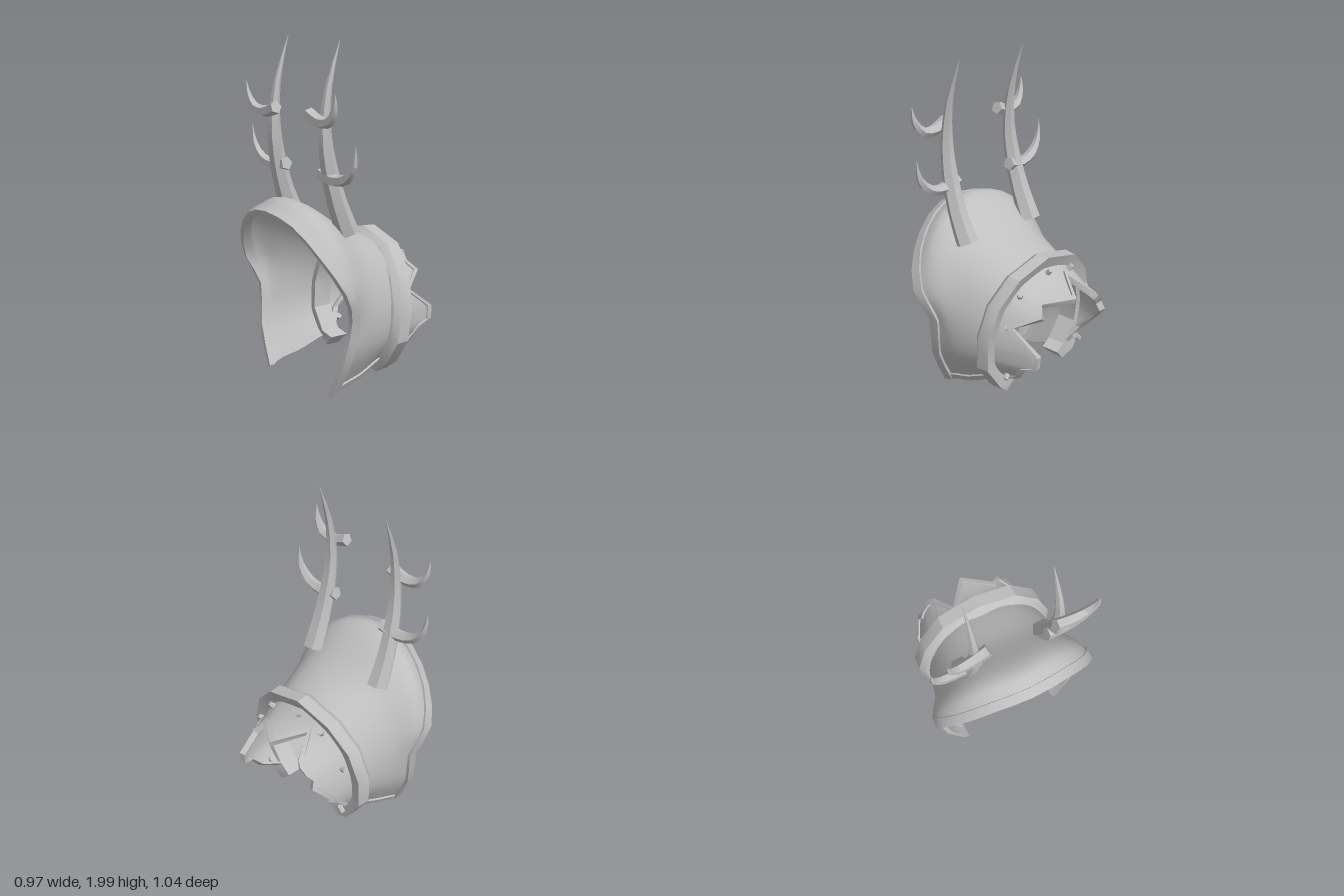
import * as THREE from 'three';
import { toCreasedNormals } from 'three/addons/utils/BufferGeometryUtils.js';

const V = (x, y, z) => new THREE.Vector3(x, y, z);

// Half arches from crown to lower edge, [x, y, z], ordered from the flared rim to the torn end
const STATIONS = [
  { zc: 0, pts: [[-.46, 1.06, 0], [-.43, 1.01, .22], [-.37, .86, .4], [-.28, .67, .5], [-.205, .5, .46], [-.23, .26, .42], [-.245, .03, .31]] },
  { zc: 0, pts: [[-.33, 1.115, 0], [-.3, 1.06, .23], [-.26, .9, .4], [-.2, .68, .48], [-.17, .5, .455], [-.18, .27, .42], [-.19, .06, .31]] },
  { zc: .02, pts: [[-.05, .945, 0], [-.05, .91, .2], [-.07, .81, .335], [-.08, .63, .42], [-.08, .45, .43], [-.07, .28, .4], [-.06, .1, .3]] },
  { zc: .035, pts: [[.2, .83, 0], [.2, .79, .18], [.18, .7, .29], [.165, .57, .355], [.15, .42, .38], [.14, .29, .355], [.14, .18, .27]] },
  { zc: .035, pts: [[.32, .74, 0], [.32, .71, .17], [.32, .635, .265], [.32, .54, .315], [.32, .42, .34], [.32, .3, .325], [.32, .2, .25]] },
  { zc: .055, pts: [[.48, .69, 0], [.48, .665, .13], [.48, .6, .22], [.48, .52, .27], [.48, .42, .29], [.48, .32, .29], [.48, .25, .25]] },
];
// Each full arch runs from the +z lower edge over the crown to the -z lower edge
const ARCHES = STATIONS.map(({ zc, pts }) => {
  const put = (s) => ([x, y, z]) => V(x - .07 * s * z, y, s * z + zc);
  return new THREE.CatmullRomCurve3([...pts.slice(1).reverse().map(put(1)), ...pts.map(put(-1))]);
});

// Point on the shell: a = 0..12 around the arch, u = 0..5 along the stations
function P(a, u) {
  return new THREE.CatmullRomCurve3(ARCHES.map((c) => c.getPoint(a / 12))).getPoint(u / 5);
}
// Surface point with outward normal and both tangents
function frame(a, u) {
  const e = .02;
  const p = P(a, u);
  const da = P(Math.min(12, a + e), u).sub(P(Math.max(0, a - e), u)).normalize();
  const du = P(a, Math.min(5, u + e)).sub(P(a, Math.max(0, u - e))).normalize();
  const n = da.clone().cross(du).normalize();
  if (n.dot(V(0, p.y - .42, p.z)) < 0) n.negate();
  return { p, da, du, n };
}

// Torn edge as [a, x] around the arch
const TEAR = [[0, .19], [.6, .32], [1.25, .38], [1.4, .455], [2.1, .46], [3.1, .28], [4.2, .42], [4.8, .375], [5.95, .48],
  [6.6, .3], [7.35, .435], [7.75, .455], [8.3, .445], [8.7, .42], [9.2, .44], [10, .36], [11, .25], [12, .19]];
function tearU(a) {
  let i = 0;
  while (i < TEAR.length - 2 && TEAR[i + 1][0] < a) i++;
  const [a0, x0] = TEAR[i], [a1, x1] = TEAR[i + 1];
  const x = x0 + (x1 - x0) * (a - a0) / (a1 - a0);
  return x > .32 ? 4 + (x - .32) / .16 : 3 + Math.max(0, x - .16) / .16;
}

function geometry(pos, idx) {
  const g = new THREE.BufferGeometry();
  g.setAttribute('position', new THREE.Float32BufferAttribute(pos, 3));
  g.setIndex(idx);
  return g;
}

// Closed solid through equal loops of points, with both ends capped
function loft(rows, crease = .5) {
  const n = rows[0].length, idx = [], all = rows.flat();
  for (let r = 0; r < rows.length - 1; r++) {
    for (let k = 0; k < n; k++) {
      const a = r * n + k, b = r * n + (k + 1) % n;
      idx.push(a, b, a + n, b, b + n, a + n);
    }
  }
  const end = (rows.length - 1) * n;
  for (let k = 1; k < n - 1; k++) idx.push(0, k + 1, k, end, end + k, end + k + 1);
  // Keep faces pointing outward
  let volume = 0;
  for (let i = 0; i < idx.length; i += 3) {
    volume += all[idx[i]].dot(all[idx[i + 1]].clone().cross(all[idx[i + 2]]));
  }
  if (volume < 0) idx.reverse();
  return toCreasedNormals(geometry(all.flatMap((p) => p.toArray()), idx), crease);
}

// Strip along shell frames; profile points are [inward, outward] offsets
function trim(frames, inward, profile) {
  return loft(frames.map((f) => {
    const d = inward(f);
    return profile.map(([w, h]) => f.p.clone().addScaledVector(d, w).addScaledVector(f.n, h));
  }));
}

// Faceted tapering horn along a curved path
function horn(points, radii, side, sides, steps) {
  const curve = new THREE.CatmullRomCurve3(points), rows = [];
  for (let i = 0; i <= steps; i++) {
    const t = i / steps, k = Math.min(t * (radii.length - 1), radii.length - 1.001), j = Math.floor(k);
    const r = THREE.MathUtils.lerp(radii[j], radii[j + 1], k - j);
    const p = curve.getPoint(t), up = curve.getTangent(t).cross(side).normalize();
    rows.push(Array.from({ length: sides }, (_, m) => {
      const q = m / sides * Math.PI * 2;
      return p.clone().addScaledVector(side, Math.cos(q) * r).addScaledVector(up, Math.sin(q) * r);
    }));
  }
  return loft(rows, .4);
}

// Shell panel from u0 to an end that may vary around the arch
function panel(u0, u1, as, nu) {
  const pos = [], idx = [], w = nu + 1;
  as.forEach((a, i) => {
    for (let j = 0; j <= nu; j++) {
      pos.push(...P(a, u0 + (u1(a) - u0) * j / nu).toArray());
      if (i && j) {
        const q = i * w + j;
        idx.push(q - w - 1, q - 1, q - w, q - w, q - 1, q);
      }
    }
  });
  const g = geometry(pos, idx);
  g.computeVertexNormals();
  // Front faces look away from the hollow
  if (g.attributes.normal.getY(Math.floor(as.length / 2) * w + 1) < 0) {
    g.setIndex(idx.reverse());
    g.computeVertexNormals();
  }
  return g;
}

export function createModel() {
  const group = new THREE.Group();
  const grey = new THREE.MeshStandardMaterial({ color: 0xbfbfbf, side: THREE.DoubleSide });
  grey.name = 'plain grey';
  const add = (name, geo) => {
    const m = new THREE.Mesh(geo, grey);
    m.name = name;
    group.add(m);
    return m;
  };
  const range = (n, f) => Array.from({ length: n + 1 }, (_, i) => f(i / n));

  const around = range(36, (t) => t * 12);
  add('shoulderShell', panel(0, () => 3, around, 16));
  const tearAround = [...new Set([...around, ...TEAR.map((e) => e[0])])].sort((a, b) => a - b);
  add('tornCuff', panel(3, tearU, tearAround, 8));

  // Raised borders
  add('flaredRim', trim(range(24, (t) => frame(t * 12, 0)), (f) => f.du, [[-.02, -.015], [-.02, .012], [.04, .018], [.04, -.012]]));
  for (const a of [0, 12]) {
    add('lowerHem', trim(range(12, (t) => frame(a, t * 3)), (f) => f.da.multiplyScalar(a ? -1 : 1),
      [[-.01, -.012], [-.01, .012], [.03, .012], [.03, -.012]]));
  }
  add('tornBorder', trim(TEAR.map(([a]) => frame(a, tearU(a))), (f) => f.du,
    [[.006, -.025], [.006, .012], [-.028, .012], [-.028, -.025]]));

  // Heavy faceted band around the shell, with ends turned in below it
  const axis = V(1, 0, .07).normalize();
  const bandEnds = [
    { p: P(0, 3).add(V(0, -.05, -.065)), n: V(0, -.7, .7) },
    { p: P(12, 3).add(V(0, -.03, .075)), n: V(0, -.7, -.7) },
  ];
  add('band', trim([bandEnds[0], ...range(10, (t) => frame(t * 12, 3)), bandEnds[1]], () => axis,
    [[-.06, -.035], [-.06, .035], [-.035, .066], [.045, .06], [.055, -.035]]));

  // Studs standing out of the cuff beside the band
  for (const a of [.5, 3, 4.55, 6, 7, 8.9, 11.5]) {
    const stud = add('stud', new THREE.CylinderGeometry(.015, .019, .05, 6).toNonIndexed());
    stud.geometry.computeVertexNormals();
    const { p, n } = frame(a, 3.52);
    stud.position.copy(p).addScaledVector(n, .008);
    stud.quaternion.setFromUnitVectors(V(0, 1, 0), n);
  }

  // Pair of antlers, each a curved beam with two hooked prongs
  const X = V(1, 0, 0), Z = V(0, 0, 1);
  for (const s of [1, -1]) {
    const at = (dx) => ([x, y, z]) => (s > 0 ? V(x, y, z) : V(x + dx, y - .01, .03 - z));
    add('antlerBeam', horn([[-.125, .94, .275], [-.2, 1.12, .275], [-.255, 1.33, .27], [-.275, 1.52, .265], [-.25, 1.75, .265], [-.17, 2, .265]].map(at(.035)),
      [.065, .055, .046, .035, .02, .001], Z, 6, 10));
    add('upperProng', horn([[-.335, 1.61, .2], [-.337, 1.575, .3], [-.342, 1.59, .39], [-.35, 1.66, .44], [-.357, 1.74, .45]].map(at(.06)),
      [.038, .035, .029, .018, .001], X, 5, 8));
    add('lowerProng', horn([[-.255, 1.28, .21], [-.258, 1.255, .32], [-.262, 1.28, .43], [-.267, 1.36, .5], [-.272, 1.47, .515]].map(at(.06)),
      [.039, .036, .03, .019, .001], X, 5, 8));
  }
  return group;
}
